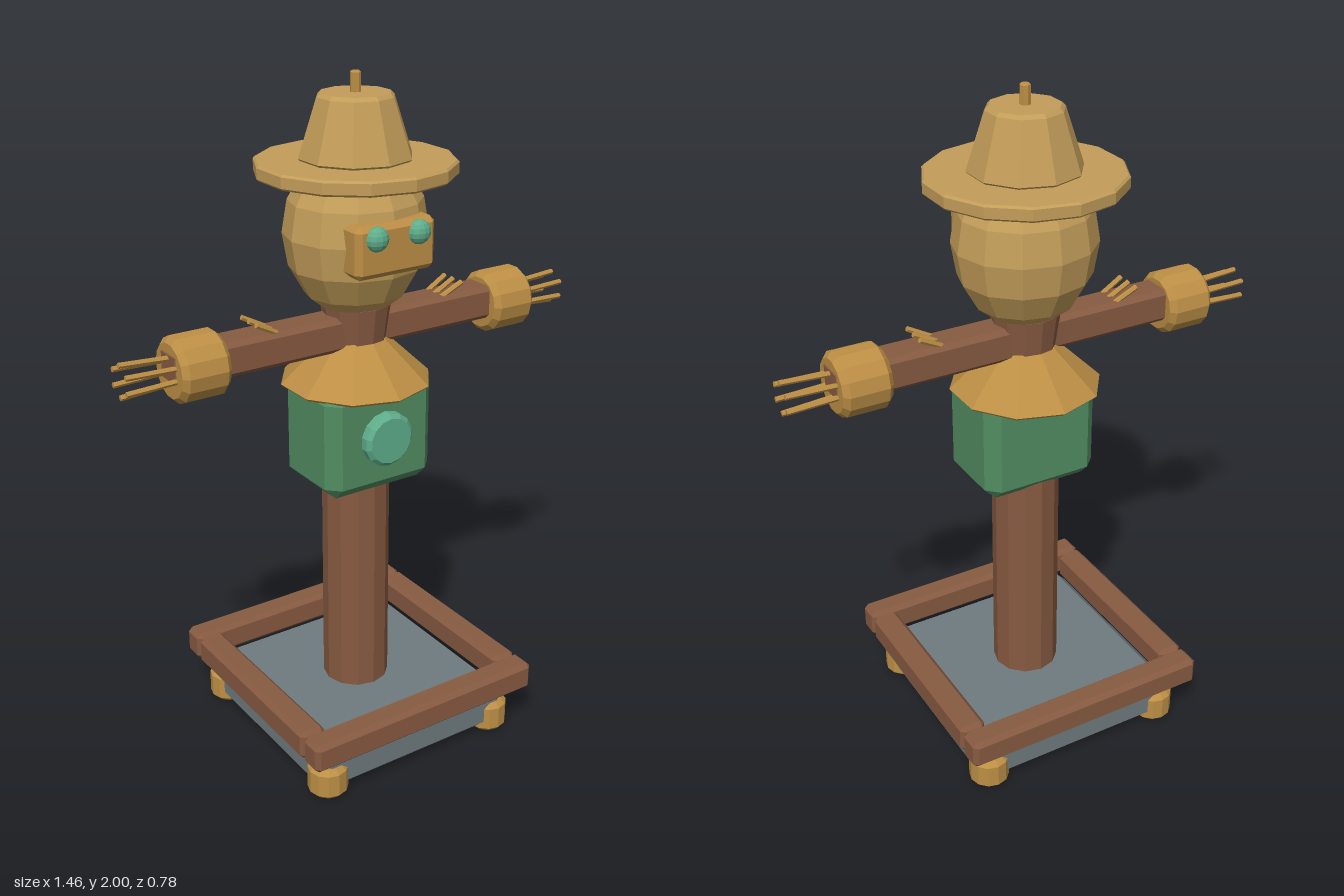
import * as THREE from 'three';
import { ConvexGeometry } from 'three/addons/geometries/ConvexGeometry.js';

const mat = (color) => new THREE.MeshStandardMaterial({ color, flatShading: true });

export function createModel() {
  const root = new THREE.Group();
  const wood = mat(0x875a41), straw = mat(0xc39d59), burlap = mat(0xbd8f45);
  const green = mat(0x528d62), teal = mat(0x5fae8b), slate = mat(0x6e7b7f);

  const add = (name, geo, material, x = 0, y = 0, z = 0, parent = root) => {
    const m = new THREE.Mesh(geo, material);
    m.name = name;
    m.position.set(x, y, z);
    parent.add(m);
    return m;
  };

  // Box with every edge chamfered by b
  const chamferBox = (w, h, d, b) => {
    const pts = [];
    for (const sx of [-1, 1]) for (const sy of [-1, 1]) for (const sz of [-1, 1]) {
      const x = w / 2, y = h / 2, z = d / 2;
      pts.push(
        new THREE.Vector3(sx * x, sy * (y - b), sz * (z - b)),
        new THREE.Vector3(sx * (x - b), sy * y, sz * (z - b)),
        new THREE.Vector3(sx * (x - b), sy * (y - b), sz * z));
    }
    return new ConvexGeometry(pts);
  };

  // Upright cylinder or cone with chamfered rims, centred on its height
  const chamferCyl = (rTop, rBottom, h, b, sides) => new THREE.LatheGeometry([
    [0, -h / 2], [rBottom - b, -h / 2], [rBottom, -h / 2 + b],
    [rTop, h / 2 - b], [rTop - b, h / 2], [0, h / 2],
  ].map(([x, y]) => new THREE.Vector2(x, y)), sides);

  // Thin stalk between two points
  const stalk = (name, a, b, r, parent) => {
    const dir = b.clone().sub(a);
    const m = add(name, new THREE.CylinderGeometry(r, r, dir.length(), 6), burlap, 0, 0, 0, parent);
    m.position.copy(a).add(b).multiplyScalar(0.5);
    m.quaternion.setFromUnitVectors(new THREE.Vector3(0, 1, 0), dir.normalize());
  };

  // Base: slab, feet and rail frame
  add('baseSlab', chamferBox(0.67, 0.14, 0.67, 0.03), slate, 0, 0.08, 0);
  for (const sx of [-1, 1]) for (const sz of [-1, 1])
    add('foot', chamferCyl(0.06, 0.06, 0.1, 0.015, 12), burlap, sx * 0.295, 0.05, sz * 0.295);
  for (const s of [-1, 1]) {
    add('crossRail', chamferBox(0.78, 0.09, 0.08, 0.014), wood, 0, 0.19, s * 0.35);
    add('sideRail', chamferBox(0.08, 0.09, 0.62, 0.014), wood, s * 0.35, 0.19, 0);
  }

  // Post and body
  add('post', chamferCyl(0.1, 0.1, 0.9, 0.01, 12), wood, 0, 0.58, 0);
  add('torso', chamferBox(0.36, 0.33, 0.265, 0.037), green, 0, 0.995, 0.016);
  const disc = add('chestDisc', chamferCyl(0.08, 0.08, 0.06, 0.012, 14), teal, 0, 1, 0.152);
  disc.rotation.x = Math.PI / 2;
  add('shoulderCape', chamferCyl(0.085, 0.22, 0.145, 0.008, 10), burlap, 0, 1.2, 0);
  add('neck', chamferCyl(0.1, 0.086, 0.14, 0.012, 12), wood, 0, 1.305, 0);

  // Arms
  add('armBeam', chamferBox(1.18, 0.1, 0.105, 0.014), wood, 0, 1.29, 0);
  for (const s of [-1, 1]) {
    const arm = new THREE.Group();
    arm.name = s > 0 ? 'leftHand' : 'rightHand';
    root.add(arm);
    const cuff = add('cuff', chamferCyl(0.093, 0.093, 0.145, 0.016, 14), burlap, s * 0.515, 1.28, 0, arm);
    cuff.rotation.z = Math.PI / 2;
    // Straw fingers in a ring
    for (let i = 0; i < 6; i++) {
      const t = (i + 0.5) * Math.PI / 3;
      const y = Math.sin(t) * 0.045, z = Math.cos(t) * 0.046;
      stalk('strawFinger', new THREE.Vector3(s * 0.56, 1.28 + y * 0.75, z),
        new THREE.Vector3(s * 0.73, 1.28 + y, z), 0.008, arm);
    }
    // Loose straw on top of the beam
    for (const z of [-0.04, 0, 0.04])
      stalk('looseStraw', new THREE.Vector3(s * 0.26, 1.325, z * 0.8),
        new THREE.Vector3(s * 0.345, 1.37, z), 0.008, arm);
  }

  // Head and face
  const head = add('head', new THREE.SphereGeometry(0.207, 12, 8), straw, 0, 1.567, 0);
  head.scale.set(1, 1.17, 0.94);
  add('facePlate', chamferBox(0.256, 0.146, 0.1, 0.016), burlap, 0, 1.563, 0.152);
  for (const s of [-1, 1]) {
    const eye = add('eye', new THREE.SphereGeometry(0.034, 12, 8), teal, s * 0.068, 1.6, 0.202);
    eye.scale.z = 0.8;
  }

  // Hat
  add('hatBrim', chamferCyl(0.28, 0.28, 0.042, 0.006, 14), straw, 0, 1.748, 0);
  add('hatCrown', chamferCyl(0.108, 0.16, 0.18, 0.01, 10), straw, 0, 1.855, 0);
  add('hatStem', chamferCyl(0.015, 0.015, 0.07, 0.004, 8), burlap, 0, 1.965, 0);

  return root;
}
